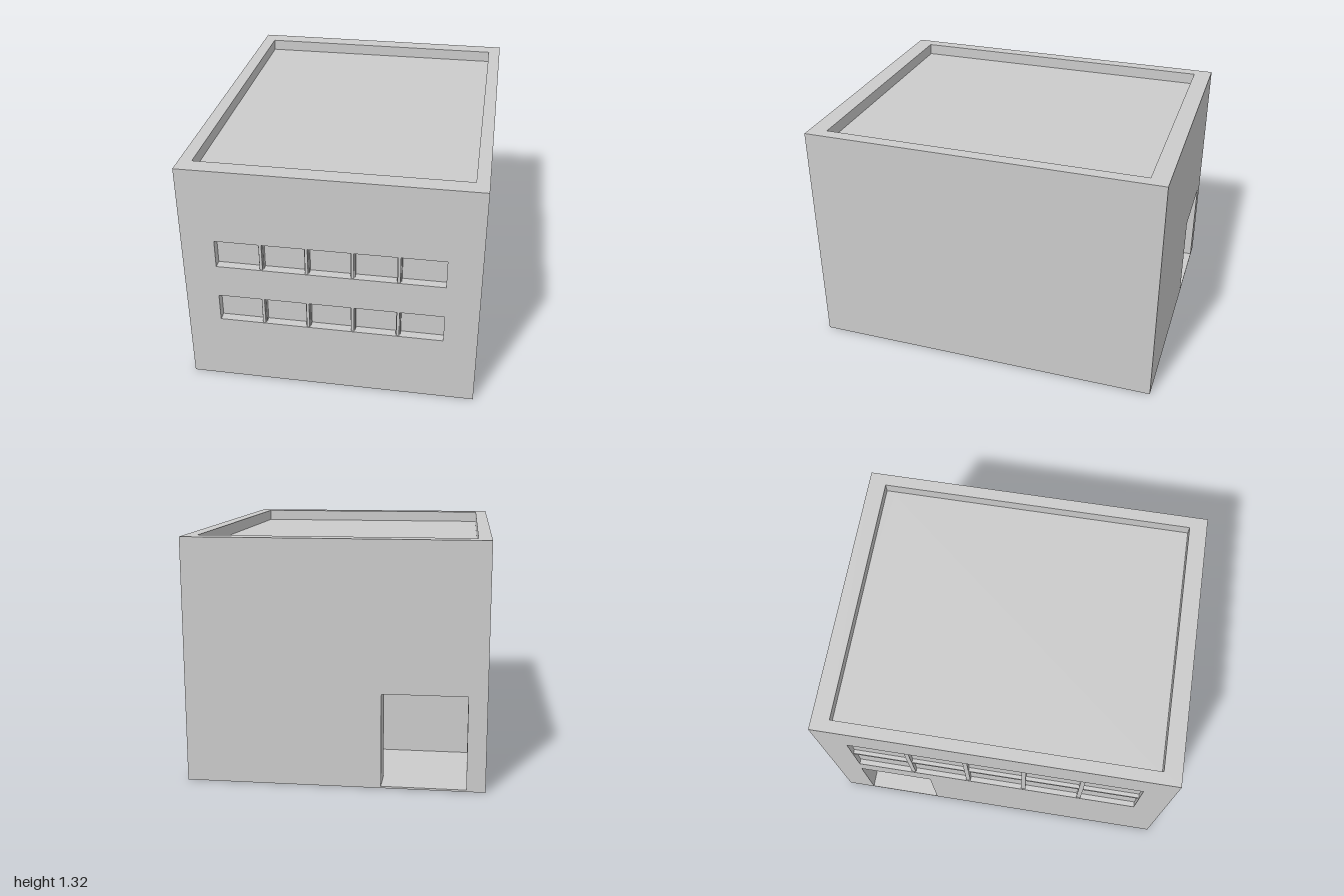
import * as THREE from 'three';

const material = new THREE.MeshStandardMaterial({ color: 0xcccccc });

export function createModel() {
  const group = new THREE.Group();
  const FLOOR = 0.01, CEILING = 0.515, ROOF = 1.255, TOP = 1.32;

  const add = (name, geometry) => {
    const mesh = new THREE.Mesh(geometry, material);
    mesh.name = name;
    group.add(mesh);
    return mesh;
  };

  // Box given by its lower and upper corners
  const box = (name, [x0, y0, z0], [x1, y1, z1]) =>
    add(name, new THREE.BoxGeometry(x1 - x0, y1 - y0, z1 - z0))
      .position.set((x0 + x1) / 2, (y0 + y1) / 2, (z0 + z1) / 2);

  const polygon = points => new THREE.Shape(points.map(p => new THREE.Vector2(...p)));
  const rectangle = (x0, y0, x1, y1) => polygon([[x0, y0], [x1, y0], [x1, y1], [x0, y1]]);

  // Flat slab with rectangular openings
  const slab = (name, shape, holes, depth) => {
    shape.holes = holes.map(h => rectangle(...h));
    return add(name, new THREE.ExtrudeGeometry(shape, { depth, bevelEnabled: false }));
  };

  // Floor, solid core and the open passage beneath its rear part
  box('floorSlab', [-0.8, 0, -1], [0.8, FLOOR, 1]);
  box('lowerCore', [-0.77, FLOOR, -0.41], [0.7, CEILING, 0.95]);
  box('upperCore', [-0.77, CEILING, -0.84], [0.7, ROOF, 0.95]);
  box('plainSideWall', [0.7, FLOOR, -0.84], [0.8, ROOF, 0.95]);

  // Front wall with two long window bands
  const bands = [[0.39, 0.55], [0.74, 0.9]];
  slab('frontWall', rectangle(-0.8, FLOOR, 0.8, ROOF),
    bands.map(([y0, y1]) => [-0.617, y0, 0.617, y1]), 0.05).position.z = 0.95;

  // Stepped mullions dividing each band into five panes
  for (const [y0, y1] of bands) {
    for (const x of [-0.37, -0.123, 0.123, 0.37]) {
      box('frontMullionBase', [x - 0.0125, y0, 0.95], [x + 0.0125, y1, 0.98]);
      box('frontMullionFace', [x - 0.0075, y0, 0.98], [x + 0.0075, y1, 0.995]);
    }
  }

  // Back wall with a doorway near the corner
  slab('backWall', polygon([
    [-0.8, FLOOR], [-0.7, FLOOR], [-0.7, CEILING], [-0.25, CEILING],
    [-0.25, FLOOR], [0.8, FLOOR], [0.8, ROOF], [-0.8, ROOF],
  ]), [], 0.16).position.z = -1;

  // Side wall with a second doorway and a large window
  const sideWall = slab('windowSideWall', polygon([
    [-0.41, FLOOR], [0.95, FLOOR], [0.95, ROOF],
    [-0.84, ROOF], [-0.84, CEILING], [-0.41, CEILING],
  ]), [[-0.83, 0.65, 0.83, 1.09]], 0.03);
  sideWall.rotation.y = -Math.PI / 2;
  sideWall.position.x = -0.77;

  // Window grid: five columns, two rows
  for (const z of [-0.498, -0.166, 0.166, 0.498]) {
    box('sideMullion', [-0.795, 0.65, z - 0.0125], [-0.77, 1.09, z + 0.0125]);
  }
  box('sideTransom', [-0.793, 0.86, -0.83], [-0.77, 0.88, 0.83]);

  // Parapet around the sunken roof
  const parapet = slab('parapet', rectangle(-0.8, -1, 0.8, 1),
    [[-0.73, -0.9, 0.73, 0.9]], TOP - ROOF);
  parapet.rotation.x = -Math.PI / 2;
  parapet.position.y = ROOF;

  return group;
}
